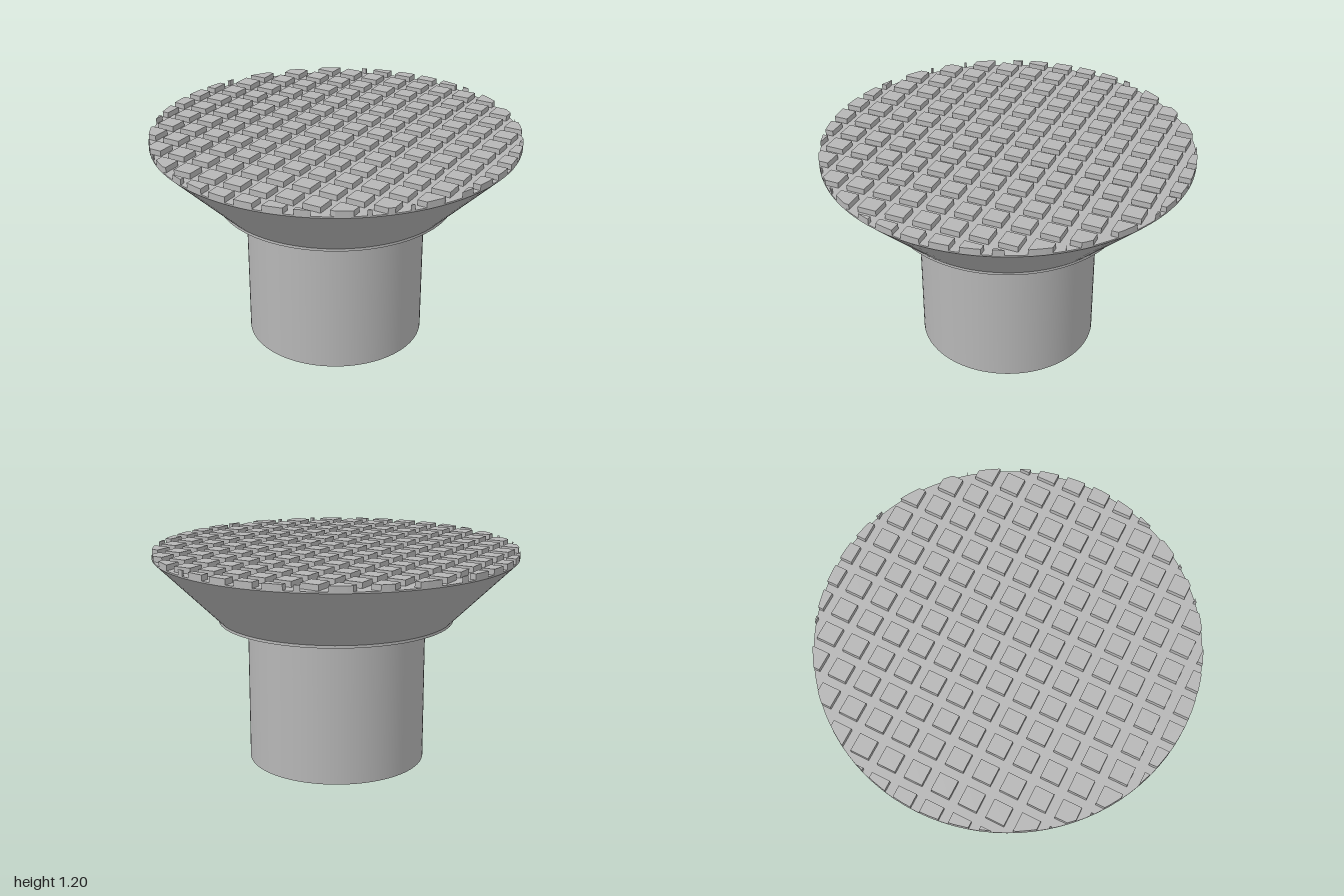
import * as THREE from 'three';
import { mergeGeometries } from 'three/addons/utils/BufferGeometryUtils.js';

const SIDES = 96;

// Keep the part of a convex polygon that lies inside the unit disc
function clipToDisc(points) {
  const limit = Math.cos(Math.PI / SIDES);
  for (let i = 0; i < SIDES && points.length; i++) {
    const a = ((i + 0.5) / SIDES) * Math.PI * 2;
    const dist = (p) => p.x * Math.cos(a) + p.y * Math.sin(a) - limit;
    const kept = [];
    points.forEach((p, k) => {
      const q = points[(k + 1) % points.length];
      const dp = dist(p), dq = dist(q);
      if (dp <= 0) kept.push(p);
      if (dp * dq < 0) kept.push(p.clone().lerp(q, dp / (dp - dq)));
    });
    points = kept;
  }
  return points;
}

export function createModel() {
  const group = new THREE.Group();
  const grey = new THREE.MeshStandardMaterial({ color: 0xb6b6b6 });
  grey.name = 'plain grey';

  const add = (name, geometry) => {
    const mesh = new THREE.Mesh(geometry, grey);
    mesh.name = name;
    group.add(mesh);
    return mesh;
  };
  const ring = (name, rTop, rBottom, y0, y1, open) =>
    add(name, new THREE.CylinderGeometry(rTop, rBottom, y1 - y0, SIDES, 1, open).translate(0, (y0 + y1) / 2, 0));

  // Stem
  const stem = ring('stem', 0.493, 0.493, 0, 0.805, false);
  stem.position.set(-0.003, 0, 0.002);

  // Flared head: short lip, 45 degree cone and thin rim
  ring('headLip', 0.65, 0.65, 0.8, 0.815, false);
  ring('headCone', 1, 0.65, 0.815, 1.162, true);
  ring('headRim', 1, 1, 1.162, 1.17, false);

  // Grid of raised square pads, trimmed to the round rim
  const pitch = 0.15, half = 0.05, pads = [];
  for (let i = -7; i < 7; i++) {
    for (let j = -7; j < 7; j++) {
      const x = (i + 0.5) * pitch - 0.003;
      const y = (j + 0.5) * pitch + 0.008;
      const outline = clipToDisc([
        new THREE.Vector2(x - half, y - half), new THREE.Vector2(x + half, y - half),
        new THREE.Vector2(x + half, y + half), new THREE.Vector2(x - half, y + half),
      ]);
      if (outline.length < 3) continue;
      pads.push(new THREE.ExtrudeGeometry(new THREE.Shape(outline), { depth: 0.03, bevelEnabled: false }));
    }
  }
  add('gripPads', mergeGeometries(pads).rotateX(-Math.PI / 2).translate(0, 1.17, 0));

  return group;
}
